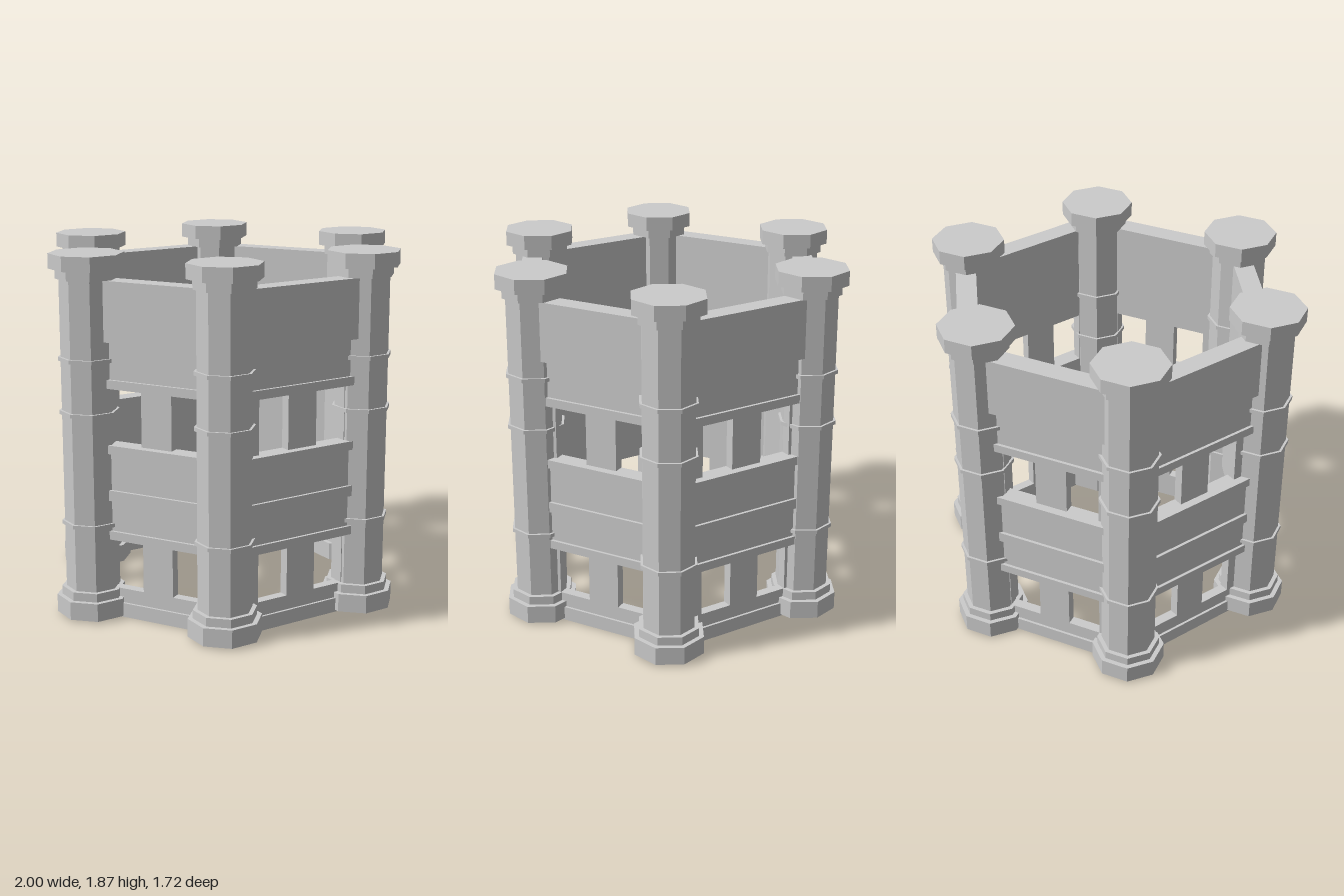
import * as THREE from 'three';

const material = new THREE.MeshStandardMaterial({ color: 0xcccccc, flatShading: true });
const INNER = 0.67; // distance from the centre to the inside wall face

function add(parent, geometry, name) {
  const mesh = new THREE.Mesh(geometry, material);
  mesh.name = name;
  parent.add(mesh);
  return mesh;
}

// hexagon corners for a given centre-to-side distance
function hexagon(apothem) {
  const r = apothem / Math.cos(Math.PI / 6);
  return Array.from({ length: 6 }, (_, i) =>
    new THREE.Vector2(r * Math.cos(i * Math.PI / 3), r * Math.sin(i * Math.PI / 3)));
}

// one horizontal course of the hexagonal wall
function course(parent, name, y0, y1, outer) {
  const shape = new THREE.Shape(hexagon(outer));
  shape.holes.push(new THREE.Path(hexagon(INNER).reverse()));
  const g = new THREE.ExtrudeGeometry(shape, { depth: y1 - y0, bevelEnabled: false });
  g.rotateX(-Math.PI / 2);
  g.translate(0, y0, 0);
  add(parent, g, name);
}

// uprights of a window storey: a middle pier and two jambs on each side
function windowStorey(parent, name, y0, y1, outer) {
  const storey = new THREE.Group();
  storey.name = name;
  const depth = outer - INNER;
  for (let i = 0; i < 6; i++) {
    const side = new THREE.Group();
    side.name = 'windowSide';
    side.rotation.y = i * Math.PI / 3;
    for (const [x, width, part] of [[0, 0.17, 'pier'], [-0.325, 0.13, 'jamb'], [0.325, 0.13, 'jamb']]) {
      const m = add(side, new THREE.BoxGeometry(width, y1 - y0, depth), part);
      m.position.set(x, (y0 + y1) / 2, INNER + depth / 2);
    }
    storey.add(side);
  }
  parent.add(storey);
}

// octagonal column: stacked prisms with flat sides facing the axes
function column(x, z) {
  const group = new THREE.Group();
  group.name = 'column';
  const parts = [
    ['base', 0.01, 0.105, 0.174],
    ['baseStep', 0.105, 0.15, 0.15],
    ['shaft', 0.15, 1.745, 0.128],
    ['lowerRing', 0.485, 0.505, 0.14],
    ['middleRing', 1.062, 1.082, 0.14],
    ['upperRing', 1.335, 1.355, 0.14],
    ['collar', 1.745, 1.795, 0.144],
    ['cap', 1.795, 1.87, 0.174],
  ];
  for (const [name, y0, y1, apothem] of parts) {
    const r = apothem / Math.cos(Math.PI / 8);
    const g = new THREE.CylinderGeometry(r, r, y1 - y0, 8);
    g.rotateY(Math.PI / 8);
    add(group, g, name).position.y = (y0 + y1) / 2;
  }
  group.position.set(x, 0, z);
  return group;
}

export function createModel() {
  const model = new THREE.Group();
  model.name = 'hexagonalTower';

  // walls, from the ground up
  const walls = new THREE.Group();
  walls.name = 'walls';
  walls.position.set(-0.005, 0, -0.003);
  course(walls, 'plinth', 0, 0.075, 0.735);
  course(walls, 'sill', 0.075, 0.15, 0.722);
  windowStorey(walls, 'lowerWindows', 0.15, 0.42, 0.722);
  course(walls, 'lintelBelt', 0.42, 0.465, 0.764);
  course(walls, 'lowerBand', 0.465, 0.625, 0.749);
  course(walls, 'middleBelt', 0.625, 0.68, 0.764);
  course(walls, 'upperBand', 0.68, 0.87, 0.749);
  course(walls, 'sillBelt', 0.87, 0.915, 0.764);
  windowStorey(walls, 'upperWindows', 0.915, 1.205, 0.722);
  course(walls, 'upperBelt', 1.205, 1.25, 0.764);
  course(walls, 'frieze', 1.25, 1.44, 0.749);
  course(walls, 'parapet', 1.44, 1.745, 0.775);
  model.add(walls);

  // corner columns, set slightly unevenly
  for (const [x, z] of [[0.825, 0.03], [-0.825, 0.03], [0.387, 0.685],
    [-0.44, 0.685], [0.387, -0.69], [-0.415, -0.69]]) {
    model.add(column(x, z));
  }
  return model;
}
